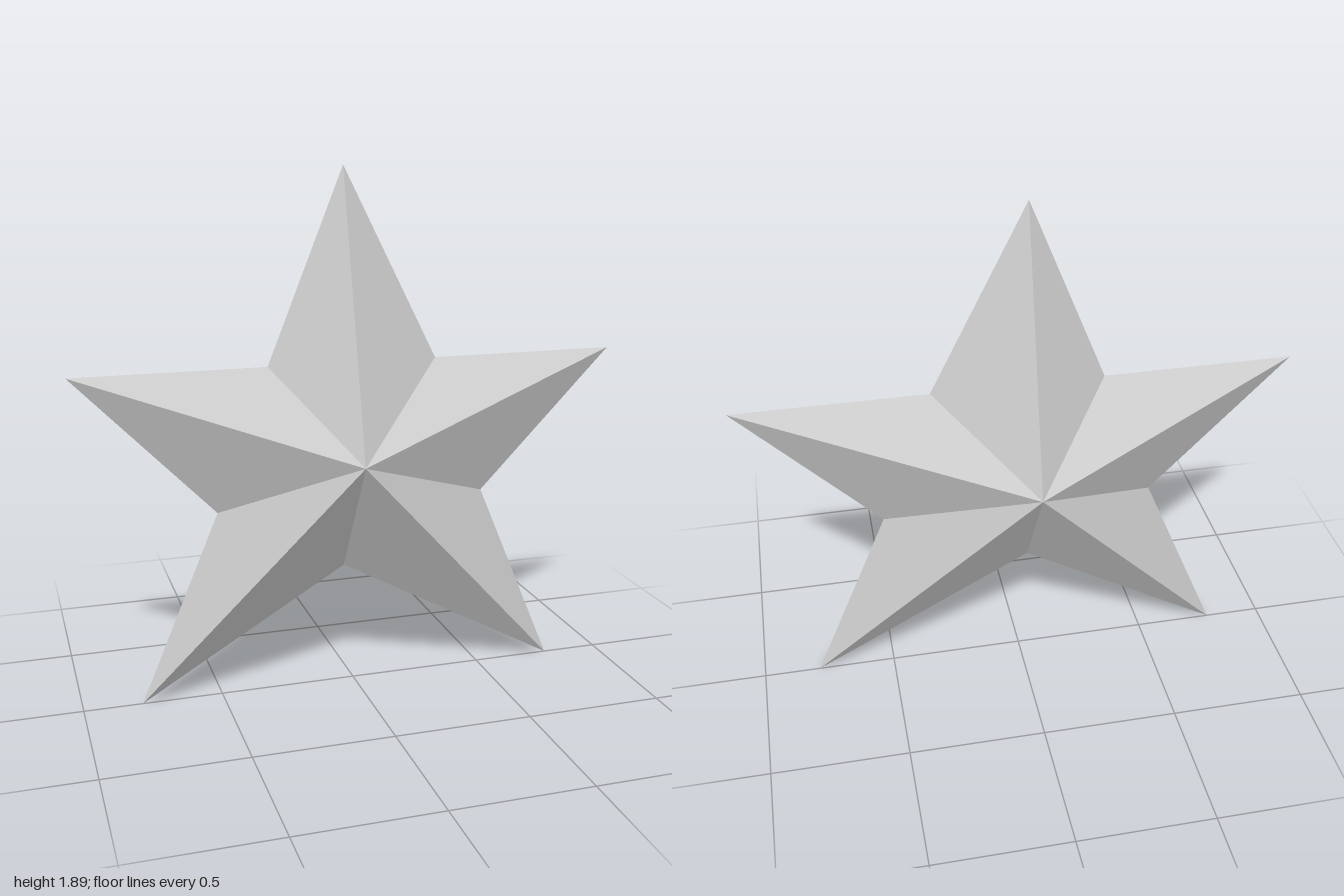
import * as THREE from 'three';

// Outline in the z = 0 plane, counter-clockwise from the top tip, tips and notches alternating
const OUTLINE = [
  [-0.035, 1.893], [-0.31, 1.207], [-1, 1.207], [-0.5, 0.692], [-0.79, 0],
  [-0.035, 0.45], [0.79, 0], [0.5, 0.692], [1, 1.207], [0.31, 1.207],
];
const CENTRE = [-0.035, 0.888];
const DEPTH = 0.267;

// Fan of flat facets from the outline to an apex; side is +1 for front, -1 for back
function starHalf(name, side, material) {
  const positions = [];
  OUTLINE.forEach((a, i) => {
    const b = OUTLINE[(i + 1) % OUTLINE.length];
    const [p, q] = side > 0 ? [a, b] : [b, a];
    positions.push(...CENTRE, side * DEPTH, ...p, 0, ...q, 0);
  });
  const geometry = new THREE.BufferGeometry();
  geometry.setAttribute('position', new THREE.Float32BufferAttribute(positions, 3));
  geometry.computeVertexNormals();
  const mesh = new THREE.Mesh(geometry, material);
  mesh.name = name;
  return mesh;
}

export function createModel() {
  const material = new THREE.MeshStandardMaterial({ color: 0xcccccc, flatShading: true });
  const star = new THREE.Group();
  star.name = 'star';
  star.add(starHalf('frontFacets', 1, material), starHalf('backFacets', -1, material));
  return star;
}
